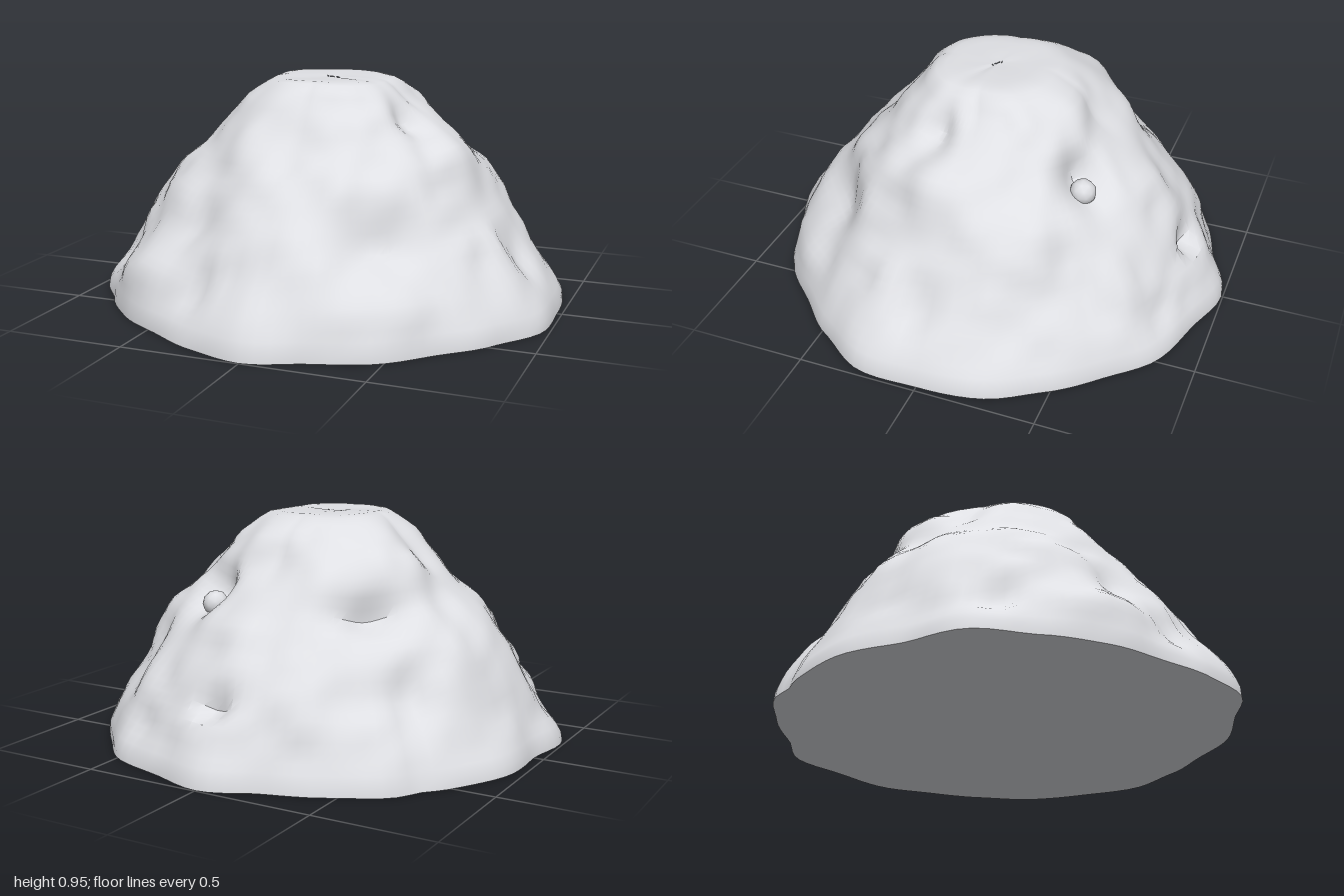
import * as THREE from 'three';
import { toCreasedNormals } from 'three/addons/utils/BufferGeometryUtils.js';

const SIDES = 112, ROWS = 36;
const rad = THREE.MathUtils.degToRad;
const smooth = THREE.MathUtils.smoothstep;

// Footprint radius every 15 degrees, from +x towards +z
const outline = [0.985, 1.01, 0.96, 0.93, 0.955, 0.945, 1, 0.965, 0.935, 0.955, 0.97, 1.025,
  0.965, 0.99, 0.97, 0.98, 0.95, 0.94, 1, 0.96, 0.98, 0.95, 0.96, 0.99];

// Slope from the foot to the summit: radius, height
const slope = [[0.995, 0], [0.99, 0.04], [0.96, 0.1], [0.9, 0.2], [0.835, 0.3], [0.765, 0.4],
  [0.685, 0.5], [0.595, 0.6], [0.5, 0.7], [0.405, 0.8], [0.3, 0.9], [0.24, 0.94],
  [0.12, 0.945], [0, 0.94]];

// Hollows and bulges: azimuth, height, half width in degrees, half height, depth
const features = [
  // front
  [53, 0.41, 13, 0.11, -0.09], [50, 0.57, 14, 0.08, 0.025], [58, 0.16, 14, 0.08, 0.025],
  [78, 0.3, 10, 0.2, 0.02], [122, 0.4, 12, 0.11, -0.055], [135, 0.18, 16, 0.09, 0.045],
  [109, 0.2, 6, 0.12, -0.05], [98, 0.27, 4, 0.09, -0.03], [150, 0.55, 12, 0.1, 0.02],
  // +x side
  [22, 0.8, 11, 0.09, -0.075], [6, 0.66, 24, 0.11, 0.055], [3, 0.24, 6, 0.09, -0.045],
  [335, 0.52, 18, 0.12, 0.05], [318, 0.4, 6, 0.13, -0.03],
  // rear
  [302, 0.66, 10, 0.09, -0.1], [268, 0.58, 22, 0.15, 0.03], [272, 0.28, 5, 0.05, -0.08],
  [296, 0.15, 6, 0.07, -0.04], [250, 0.3, 9, 0.12, 0.02],
  // -x side
  [212, 0.76, 30, 0.11, 0.06], [183, 0.46, 32, 0.18, 0.05], [225, 0.6, 12, 0.05, -0.08],
  [217, 0.34, 6, 0.1, -0.06], [219, 0.05, 4, 0.12, -0.03], [159, 0.2, 5, 0.08, -0.05],
];

// Repeatable value noise, about -1 to 1
function hash(x, y, z) {
  const s = Math.sin(x * 127.1 + y * 311.7 + z * 74.7) * 43758.5453;
  return (s - Math.floor(s)) * 2 - 1;
}
function noise(x, y, z) {
  const ix = Math.floor(x), iy = Math.floor(y), iz = Math.floor(z);
  let sum = 0;
  for (let c = 0; c < 8; c++) {
    const dx = c & 1, dy = (c >> 1) & 1, dz = c >> 2;
    const w = (k, f) => { const s = f * f * (3 - 2 * f); return k ? s : 1 - s; };
    sum += hash(ix + dx, iy + dy, iz + dz) * w(dx, x - ix) * w(dy, y - iy) * w(dz, z - iz);
  }
  return sum;
}

// Footprint radius at any angle, eased between the listed ones
function footRadius(a) {
  const t = a / (Math.PI * 2) * outline.length;
  const i = Math.floor(t), f = t - i, n = outline.length;
  return THREE.MathUtils.lerp(outline[i % n], outline[(i + 1) % n], smooth(f, 0, 1));
}

function surfacePoint(a, r, y) {
  // The outline fades upwards and the summit becomes squarer
  let radius = r * THREE.MathUtils.lerp(footRadius(a), 0.97, smooth(y, 0, 0.6));
  radius *= 1 + 0.13 * Math.abs(Math.sin(2 * a)) * smooth(y, 0.6, 0.92);
  const x = Math.cos(a) * radius, z = Math.sin(a) * radius;
  let push = 0;
  for (const [az, h, wa, wh, depth] of features) {
    const da = (((a * 180 / Math.PI - az + 540) % 360) - 180) / wa, dy = (y - h) / wh;
    push += depth * Math.exp(-(da * da + dy * dy));
  }
  const grain = 0.016 * noise(x * 4 + 9, y * 4, z * 4) + 0.018 * noise(x * 9, y * 9 + 5, z * 9);
  push += grain * smooth(y, -0.05, 0.25) * (1 - 0.6 * smooth(y, 0.85, 0.94));
  const out = push * 0.8 * smooth(r, 0, 0.3);
  const up = push * 0.55 * smooth(y, 0, 0.2);
  const lean = 0.03 * smooth(y, 0.8, 0.94) * (1 - smooth(r, 0.2, 0.4));
  return [x + Math.cos(a) * out, Math.min(0.955, y + up), z + Math.sin(a) * out + lean];
}

export function createModel() {
  const group = new THREE.Group();
  group.name = 'boulder';
  const stone = new THREE.MeshStandardMaterial({ color: 0xdedfe3 });
  stone.name = 'pale grey stone';

  // Rocky mound from rings climbing the slope
  const curve = new THREE.CatmullRomCurve3(slope.map(([r, y]) => new THREE.Vector3(r, y, 0)));
  const rows = curve.getSpacedPoints(ROWS);
  const positions = [], index = [], foot = [];
  rows.forEach((p, i) => {
    for (let j = 0; j < SIDES; j++) {
      const a = j / SIDES * Math.PI * 2;
      const v = surfacePoint(a, Math.max(0, p.x), Math.max(0, p.y));
      if (i === 0) {
        v[1] = 0;
        foot.push(new THREE.Vector2(v[0], v[2]));
      }
      positions.push(...v);
      if (i === ROWS) continue;
      const k = (j + 1) % SIDES;
      const b0 = i * SIDES + j, b1 = i * SIDES + k;
      index.push(b0, b0 + SIDES, b1);
      if (i < ROWS - 1) index.push(b1, b0 + SIDES, b1 + SIDES);
    }
  });
  const geometry = new THREE.BufferGeometry();
  geometry.setAttribute('position', new THREE.Float32BufferAttribute(positions, 3));
  geometry.setIndex(index);
  const mound = new THREE.Mesh(toCreasedNormals(geometry, rad(32)), stone);
  mound.name = 'mound';
  group.add(mound);

  // Flat underside
  const under = new THREE.Mesh(new THREE.ShapeGeometry(new THREE.Shape(foot)).rotateX(Math.PI / 2), stone);
  under.name = 'underside';
  group.add(under);

  // Small knob lodged in the rear hollow
  const knob = new THREE.Mesh(new THREE.IcosahedronGeometry(0.055, 1), stone);
  knob.name = 'knob';
  knob.position.set(0.28, 0.59, -0.44);
  group.add(knob);

  return group;
}
